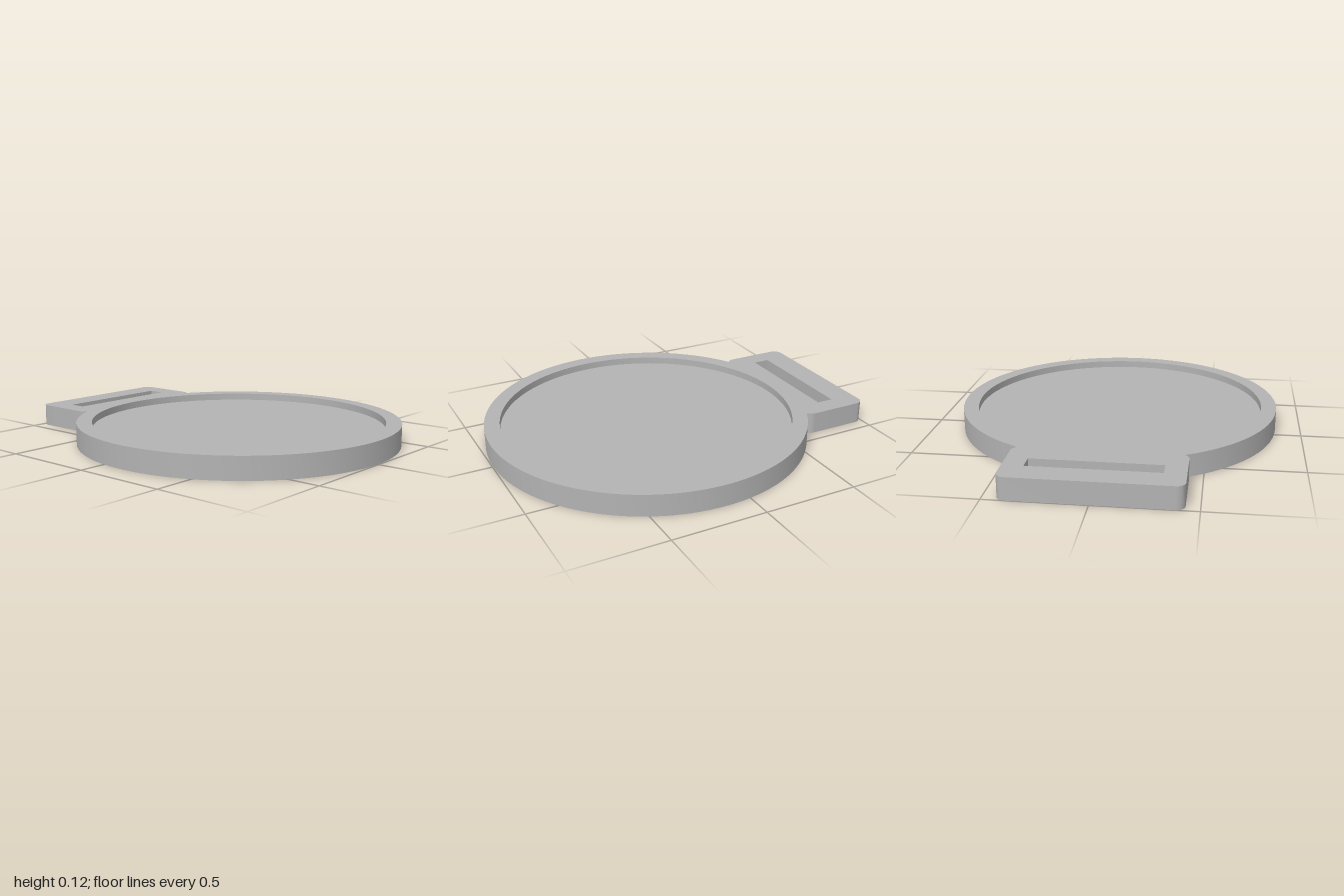
import * as THREE from 'three';
import { toCreasedNormals } from 'three/addons/utils/BufferGeometryUtils.js';

const HEIGHT = 0.116, FLOOR = 0.078;
const DISC_Z = 0.13, DISC_R = 0.866, RECESS_R = 0.784;
const CORNER_X = 0.387, CORNER_R = 0.045, TAB_BACK = 0.955, TAB_FRONT = 0.675;
const SEGMENTS = 40;

// Plan drawn with shape y pointing to the back (-z)
function bodyShape() {
  const join = Math.atan2(0.766, 0.41); // where the disc meets the tab
  const curl = 1.04;                    // part of the tab's front corners left outside the disc
  const shape = new THREE.Shape();
  shape.absarc(0, -DISC_Z, DISC_R, Math.PI - join, Math.PI * 2 + join, false);
  shape.absarc(CORNER_X, TAB_FRONT, CORNER_R, -curl, 0, false);
  shape.absarc(CORNER_X, TAB_BACK, CORNER_R, 0, Math.PI / 2, false);
  shape.absarc(-CORNER_X, TAB_BACK, CORNER_R, Math.PI / 2, Math.PI, false);
  shape.absarc(-CORNER_X, TAB_FRONT, CORNER_R, Math.PI, Math.PI + curl, false);

  // Ribbon slot
  const slot = new THREE.Path();
  slot.moveTo(-0.325, 0.77);
  slot.lineTo(-0.325, 0.86);
  slot.lineTo(0.325, 0.86);
  slot.lineTo(0.325, 0.77);
  slot.closePath();

  // Round recess
  const recess = new THREE.Path();
  recess.absarc(0, -DISC_Z, RECESS_R, 0, Math.PI * 2, true);
  shape.holes.push(slot, recess);
  return shape;
}

export function createModel() {
  const group = new THREE.Group();
  group.name = 'medal';
  const grey = new THREE.MeshStandardMaterial({ color: 0xb3b3b3 });
  grey.name = 'grey';

  // Rim and ribbon tab in one piece
  const bodyGeometry = new THREE.ExtrudeGeometry(bodyShape(), {
    depth: HEIGHT, bevelEnabled: false, curveSegments: SEGMENTS,
  });
  bodyGeometry.rotateX(-Math.PI / 2);
  const body = new THREE.Mesh(toCreasedNormals(bodyGeometry, Math.PI / 6), grey);
  body.name = 'rimAndRibbonTab';
  group.add(body);

  // Lower disc filling the ring up to the recess floor
  const floor = new THREE.Mesh(
    new THREE.CylinderGeometry(RECESS_R, RECESS_R, FLOOR, SEGMENTS * 2), grey);
  floor.position.set(0, FLOOR / 2, DISC_Z);
  floor.name = 'recessedFace';
  group.add(floor);

  return group;
}
